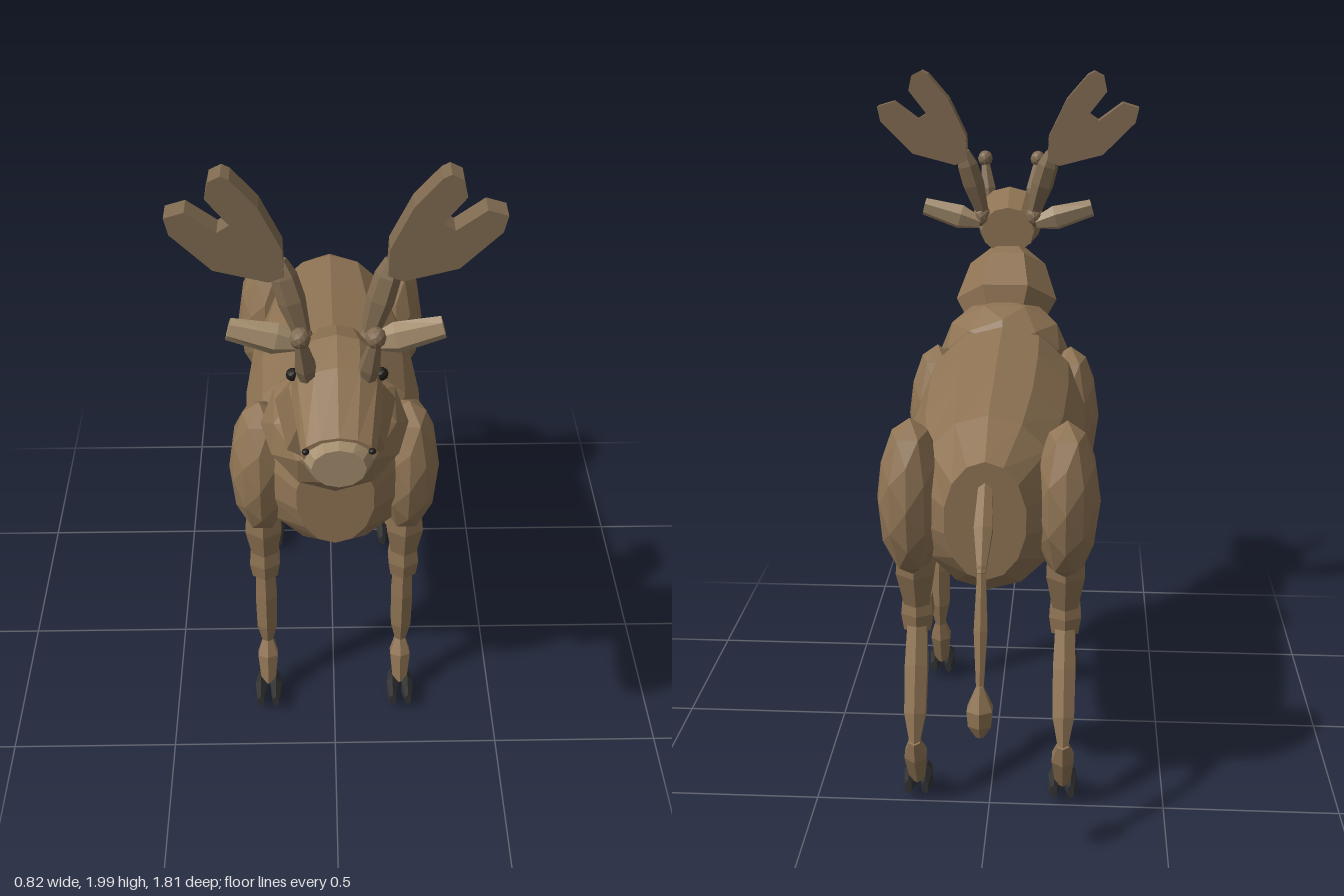
import * as THREE from 'three';

const mat = (color) => new THREE.MeshStandardMaterial({ color, flatShading: true });

export function createModel() {
  const model = new THREE.Group();
  model.name = 'deer';
  const coat = mat(0x8f7454), pale = mat(0xa38c6c), antlerMat = mat(0x7f6a50);
  const dark = mat(0x333333), black = mat(0x1c1a18);

  function add(name, geometry, material, parent = model) {
    const mesh = new THREE.Mesh(geometry, material);
    mesh.name = name;
    parent.add(mesh);
    return mesh;
  }

  // Capped skin along +z; each ring is [z, centreY, radiusX, radiusY], back to front
  function loft(rings, sides) {
    const g = new THREE.CylinderGeometry(1, 1, rings.length - 1, sides, rings.length - 1);
    const p = g.attributes.position;
    for (let i = 0; i < p.count; i++) {
      const [z, cy, rx, ry] = rings[Math.round(p.getY(i) + (rings.length - 1) / 2)];
      p.setXYZ(i, p.getX(i) * rx, cy - p.getZ(i) * ry, z);
    }
    g.computeVertexNormals();
    return g;
  }

  // Spindle from a to b; profile entries are [fraction, radius, optional second radius]
  function spindle(name, a, b, profile, material = coat, parent = model, sides = 6) {
    const start = new THREE.Vector3(...a), dir = new THREE.Vector3(...b).sub(start);
    const len = dir.length();
    const g = loft(profile.map(([t, r, r2 = r]) => [t * len, 0, r, r2]), sides);
    const mesh = add(name, g, material, parent);
    mesh.quaternion.setFromUnitVectors(new THREE.Vector3(0, 0, 1), dir.normalize());
    mesh.position.copy(start);
    return mesh;
  }

  function ball(name, pos, radii, material = coat, parent = model, detail = 1) {
    const g = new THREE.IcosahedronGeometry(1, detail).scale(...radii);
    const mesh = add(name, g, material, parent);
    mesh.position.set(...pos);
    return mesh;
  }

  // Torso
  add('torso', loft([
    [-0.645, 0.935, 0.11, 0.165], [-0.5, 0.93, 0.205, 0.25], [-0.25, 0.925, 0.25, 0.285],
    [0, 0.94, 0.265, 0.3], [0.2, 0.95, 0.26, 0.305], [0.34, 0.955, 0.21, 0.25],
    [0.46, 0.97, 0.11, 0.16],
  ], 14), coat);

  // Neck
  ball('neckBase', [0, 1.14, 0.33], [0.205, 0.165, 0.2]).rotation.x = 0.3;
  spindle('neck', [0, 1.14, 0.36], [0, 1.42, 0.56],
    [[0, 0.08], [0.45, 0.165], [0.82, 0.125], [1, 0.06]], coat, model, 7);

  // Head
  const head = new THREE.Group();
  head.name = 'head';
  model.add(head);
  add('skull', loft([
    [0.49, 1.495, 0.085, 0.075], [0.61, 1.515, 0.11, 0.105],
    [0.71, 1.5, 0.11, 0.093], [0.87, 1.455, 0.088, 0.05],
  ], 12), coat, head);
  add('muzzle', loft([
    [0.76, 1.425, 0.075, 0.04], [0.86, 1.44, 0.088, 0.06], [0.9, 1.437, 0.065, 0.055],
  ], 12), pale, head);

  const palm = [
    [0.41, 1.89], [0.36, 1.905], [0.285, 1.85], [0.255, 1.87], [0.31, 1.94], [0.3, 1.985],
    [0.27, 2], [0.25, 1.99], [0.185, 1.915], [0.13, 1.8], [0.127, 1.725], [0.165, 1.71],
    [0.3, 1.745], [0.4, 1.845],
  ];

  for (const s of [1, -1]) {
    const side = s > 0 ? 'left' : 'right';
    // Eye, nostril, ear and brow horn
    ball(side + 'Eye', [s * 0.108, 1.535, 0.655], [0.017, 0.017, 0.017], black, head);
    ball(side + 'Nostril', [s * 0.078, 1.47, 0.875], [0.009, 0.008, 0.009], black, head);
    spindle(side + 'Ear', [s * 0.09, 1.52, 0.5], [s * 0.27, 1.57, 0.505],
      [[0, 0.018, 0.02], [0.35, 0.03, 0.042], [1, 0.015, 0.03]], pale, head);
    spindle(side + 'BrowHorn', [s * 0.07, 1.55, 0.7], [s * 0.088, 1.685, 0.735],
      [[0, 0.02], [0.35, 0.027], [1, 0.014]], antlerMat, head);
    ball(side + 'BrowHornTip', [s * 0.088, 1.695, 0.735], [0.025, 0.027, 0.025], antlerMat, head);

    // Antler
    const antler = new THREE.Group();
    antler.name = side + 'Antler';
    head.add(antler);
    ball('antlerRoot', [s * 0.085, 1.54, 0.51], [0.03, 0.035, 0.03], antlerMat, antler);
    spindle('antlerStem', [s * 0.08, 1.54, 0.51], [s * 0.14, 1.75, 0.475],
      [[0, 0.02], [0.5, 0.036], [0.8, 0.034], [1, 0.02]], antlerMat, antler);
    const shape = new THREE.Shape(palm.map(([x, y]) => new THREE.Vector2(s * x, y)));
    add('antlerPalm', new THREE.ExtrudeGeometry(shape, { depth: 0.064, bevelEnabled: false }),
      antlerMat, antler).position.z = 0.45;

    // Legs: joint positions are [y, z] from thigh to fetlock
    const legs = [
      { name: 'FrontLeg', haunch: 0.275, top: [0.8, 0.265], knee: [0.56, 0.25], fetlock: [0.2, 0.25], hoof: 0.31 },
      { name: 'HindLeg', haunch: -0.5, top: [0.8, -0.44], knee: [0.56, -0.39], fetlock: [0.2, -0.53], hoof: -0.445 },
    ];
    for (const l of legs) {
      const leg = new THREE.Group();
      leg.name = side + l.name;
      model.add(leg);
      const x = s * 0.21;
      ball('haunch', [x, 0.945, l.haunch], [0.092, 0.225, 0.13], coat, leg);
      spindle('upperLeg', [x, ...l.top], [x, ...l.knee],
        [[0, 0.05], [0.4, 0.062], [1, 0.035]], coat, leg);
      spindle('knee', [x, l.knee[0] + 0.05, l.knee[1]], [x, l.knee[0] - 0.05, l.knee[1]],
        [[0, 0.046], [0.5, 0.052], [1, 0.044]], coat, leg);
      spindle('shank', [x, ...l.knee], [x, ...l.fetlock],
        [[0, 0.03], [0.4, 0.037], [0.75, 0.035], [1, 0.014]], coat, leg);
      spindle('pastern', [x, l.fetlock[0] + 0.02, l.fetlock[1]], [x, 0.07, l.hoof - 0.02],
        [[0, 0.018], [0.35, 0.036], [1, 0.025]], coat, leg);
      for (const d of [-0.024, 0.024]) {
        spindle('hoof', [x + d, 0.053, l.hoof - 0.057], [x + d, 0.053, l.hoof + 0.057],
          [[0, 0.011, 0.022], [0.5, 0.021, 0.045], [1, 0.011, 0.022]], dark, leg);
      }
    }
  }

  // Tail
  const tail = new THREE.Group();
  tail.name = 'tail';
  model.add(tail);
  spindle('tailRoot', [0, 1.03, -0.63], [0, 0.85, -0.79],
    [[0, 0.02], [0.5, 0.028], [1, 0.012]], coat, tail);
  spindle('tailMiddle', [0, 0.87, -0.78], [0, 0.55, -0.865],
    [[0, 0.012], [0.5, 0.02], [1, 0.01]], coat, tail);
  spindle('tailTuft', [0, 0.575, -0.865], [0, 0.435, -0.87],
    [[0, 0.01], [0.45, 0.038], [0.75, 0.034], [1, 0.012]], coat, tail);

  return model;
}
